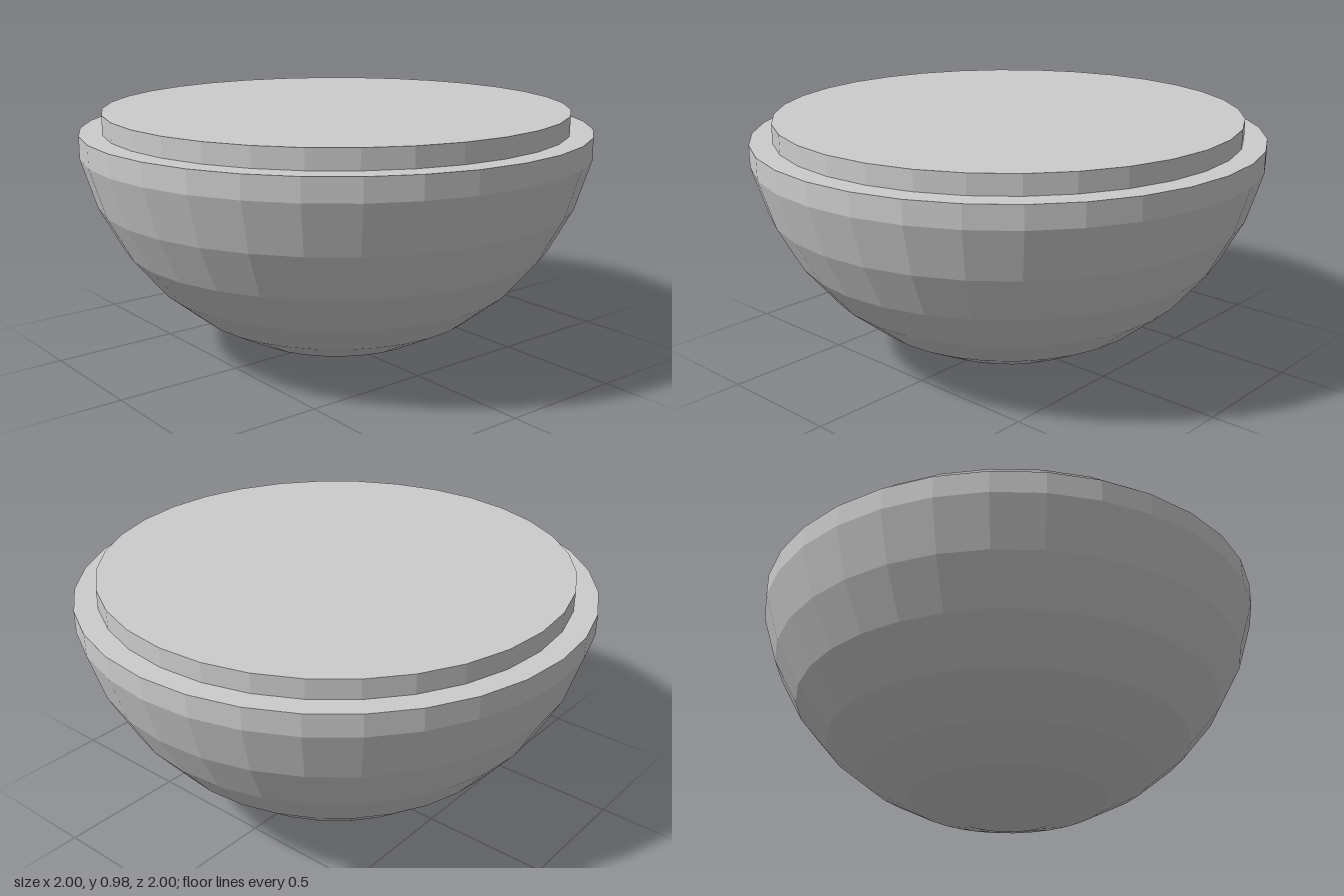
import * as THREE from 'three';

const SIDES = 32;

export function createModel() {
  const group = new THREE.Group();
  const material = new THREE.MeshStandardMaterial({ color: 0xcccccc, flatShading: true });

  // Faceted half sphere, ending in a short upright rim and a flat ledge
  const step = Math.PI / 16;
  const radius = 1 / Math.sin(7 * step);
  const profile = [];
  for (let i = 0; i <= 7; i++) {
    profile.push(new THREE.Vector2(radius * Math.sin(i * step), radius * (1 - Math.cos(i * step))));
  }
  profile.push(new THREE.Vector2(1, 0.907), new THREE.Vector2(0, 0.907));
  const bowl = new THREE.Mesh(new THREE.LatheGeometry(profile, SIDES), material);
  bowl.name = 'bowl';
  group.add(bowl);

  // Raised disc on top, set in from the rim
  const disc = new THREE.Mesh(new THREE.CylinderGeometry(0.912, 0.912, 0.075, SIDES), material);
  disc.name = 'topDisc';
  disc.position.y = 0.9445;
  group.add(disc);

  return group;
}
